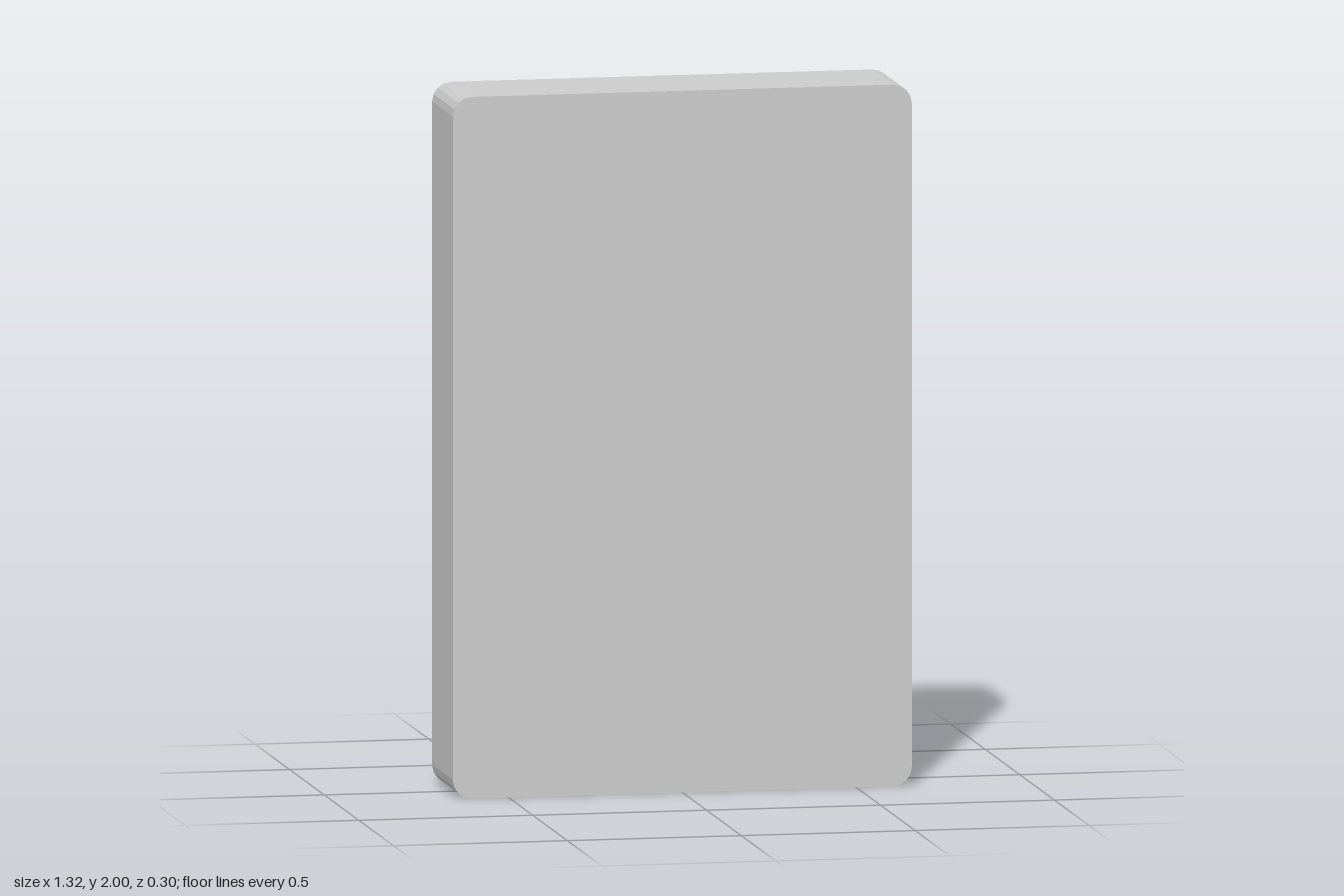
import * as THREE from 'three';

const HALF_W = 0.66, HALF_H = 1, BACK_Z = -0.15;

// Rounded rectangle, counter-clockwise seen from +z; "depth" is measured from the open back
function ring(halfW, halfH, depth, radius) {
  const points = [], steps = 4;
  const corners = [[1, 1], [-1, 1], [-1, -1], [1, -1]];
  corners.forEach(([sx, sy], c) => {
    for (let i = 0; i <= steps; i++) {
      const a = (c + i / steps) * Math.PI / 2;
      points.push(new THREE.Vector3(
        sx * (halfW - radius) + radius * Math.cos(a),
        1 + sy * (halfH - radius) + radius * Math.sin(a),
        BACK_Z + depth));
    }
  });
  return points;
}

// Joins consecutive rings with flat faces, skipping collapsed triangles
function loft(rings) {
  const positions = [];
  const tri = new THREE.Triangle();
  const add = (a, b, c) => {
    if (tri.set(a, b, c).getArea() < 1e-8) return;
    for (const p of [a, b, c]) positions.push(p.x, p.y, p.z);
  };
  for (let r = 0; r < rings.length - 1; r++) {
    const A = rings[r], B = rings[r + 1], n = A.length;
    for (let i = 0; i < n; i++) {
      const j = (i + 1) % n;
      add(A[i], B[i], B[j]);
      add(A[i], B[j], A[j]);
    }
  }
  const geometry = new THREE.BufferGeometry();
  geometry.setAttribute('position', new THREE.Float32BufferAttribute(positions, 3));
  geometry.computeVertexNormals();
  return geometry;
}

export function createModel() {
  const group = new THREE.Group();
  const grey = new THREE.MeshStandardMaterial({ color: 0xcccccc, flatShading: true });
  grey.name = 'plain grey';

  // Outer skin: front face, rounded sides, back rim
  const rim = ring(HALF_W, HALF_H, 0, 0.055);
  const shell = new THREE.Mesh(loft([
    ring(0, 0, 0.3, 0),
    ring(HALF_W, HALF_H, 0.3, 0.055),
    rim,
  ]), grey);
  shell.name = 'outerShell';
  group.add(shell);

  // Hollow back: bevelled rim, sloping wall, stepped ledge, recessed panel [inset, depth]
  const profile = [
    [0.035, 0.03], [0.066, 0.075], [0.11, 0.2],
    [0.18, 0.205], [0.245, 0.218], [0.272, 0.24],
  ];
  const cavity = new THREE.Mesh(loft([
    rim,
    ...profile.map(([inset, depth]) => ring(HALF_W - inset, HALF_H - inset, depth, 0)),
    ring(0, 0, 0.24, 0),
  ]), grey);
  cavity.name = 'backCavity';
  group.add(cavity);

  // Hollow mounting posts rising from the bottom and top walls
  const postProfile = [
    [0.093, 0.05], [0.093, 0.295], [0.088, 0.305], [0.08, 0.31],
    [0.07, 0.31], [0.064, 0.3], [0.064, 0.12], [0, 0.12],
  ].map(([x, y]) => new THREE.Vector2(x, y));
  const postGeometry = new THREE.LatheGeometry(postProfile, 16);
  for (const top of [false, true]) {
    const post = new THREE.Mesh(postGeometry, grey);
    post.name = top ? 'topPost' : 'bottomPost';
    if (top) {
      post.rotation.x = Math.PI;
      post.position.y = 2;
    }
    group.add(post);
  }

  return group;
}
